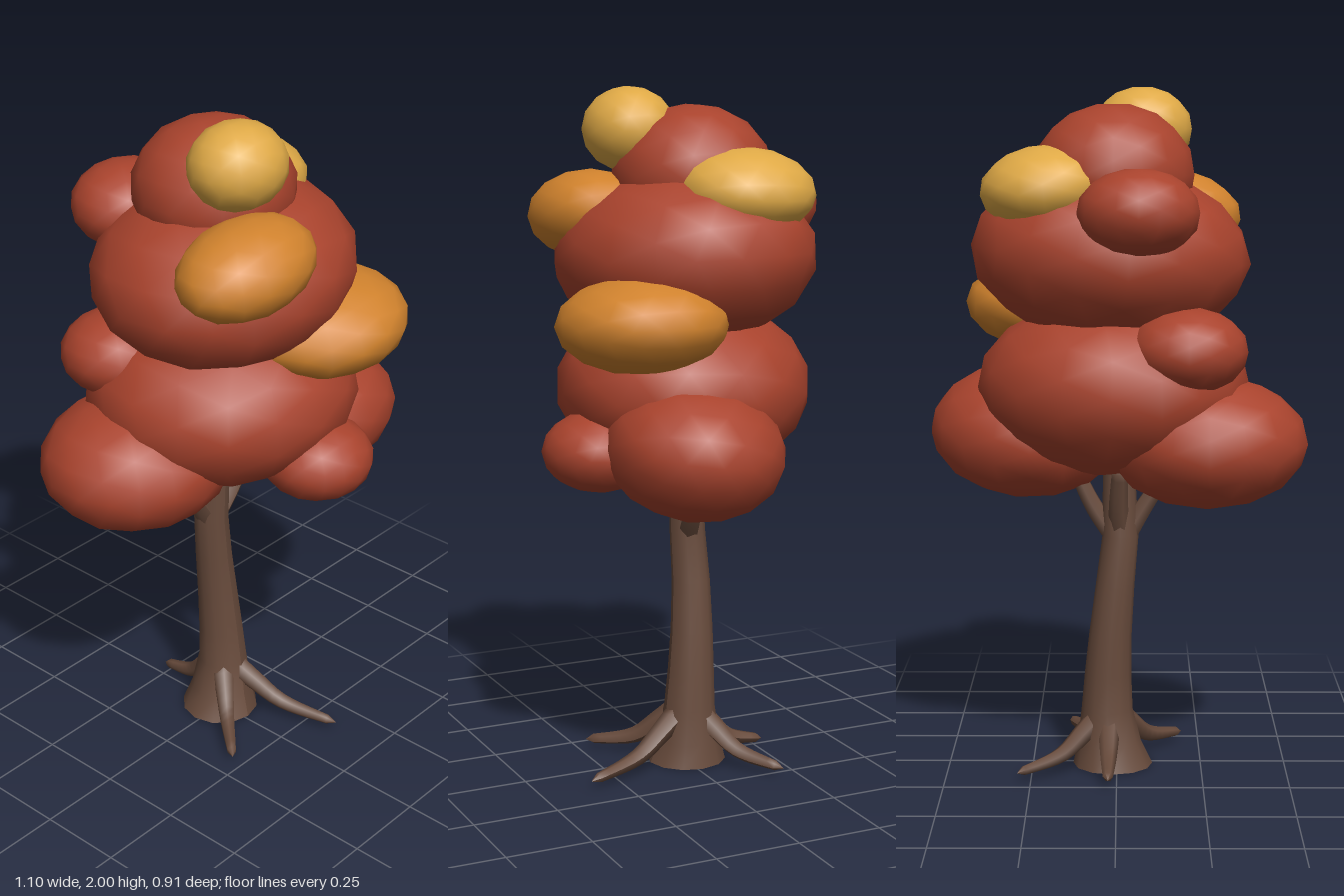
import * as THREE from 'three';

const mat = (name, color) => {
  const m = new THREE.MeshStandardMaterial({ color });
  m.name = name;
  return m;
};

// Trunk: a cylinder whose rings follow [y, centreX, centreZ, radius] stations
function trunkGeometry(stations) {
  const n = stations.length - 1;
  const geo = new THREE.CylinderGeometry(1, 1, 1, 12, n);
  const pos = geo.attributes.position;
  for (let i = 0; i < pos.count; i++) {
    const [y, cx, cz, r] = stations[Math.round((pos.getY(i) + 0.5) * n)];
    pos.setXYZ(i, cx + pos.getX(i) * r, y, cz + pos.getZ(i) * r);
  }
  geo.computeVertexNormals();
  return geo;
}

// Tapered tube along a smooth curve, closed to a blunt point at its end
function taperGeometry(points, r0, r1, sides = 6, rings = 12) {
  const curve = new THREE.CatmullRomCurve3(points.map(p => new THREE.Vector3(...p)));
  const geo = new THREE.TubeGeometry(curve, rings, 1, sides);
  const pos = geo.attributes.position;
  const v = new THREE.Vector3();
  for (let i = 0; i < pos.count; i++) {
    const ring = Math.floor(i / (sides + 1));
    const centre = curve.getPointAt(ring / rings);
    const r = ring === rings ? 0 : THREE.MathUtils.lerp(r0, r1, ring / rings);
    v.fromBufferAttribute(pos, i).sub(centre).multiplyScalar(r).add(centre);
    pos.setXYZ(i, v.x, v.y, v.z);
  }
  geo.computeVertexNormals();
  return geo;
}

export function createModel() {
  const tree = new THREE.Group();
  tree.name = 'autumnTree';
  const bark = mat('bark brown', 0x684b3c);
  const red = mat('leaf red', 0xa9432d);
  const orange = mat('leaf orange', 0xd0822d);
  const yellow = mat('leaf yellow', 0xdfa946);

  const add = (name, geo, material) => {
    const mesh = new THREE.Mesh(geo, material);
    mesh.name = name;
    tree.add(mesh);
    return mesh;
  };

  // Leaning trunk with flared foot
  add('trunk', trunkGeometry([
    [0, 0.012, -0.015, 0.118],
    [0.07, 0.022, -0.017, 0.094],
    [0.17, 0.029, -0.018, 0.076],
    [0.28, 0.026, -0.024, 0.069],
    [0.4, 0.019, -0.03, 0.063],
    [0.55, 0.005, -0.034, 0.057],
    [0.7, -0.011, -0.03, 0.053],
    [0.9, -0.006, -0.022, 0.047],
    [1.1, 0.0, -0.01, 0.04],
  ]), bark);

  // Roots spreading to their ground tips
  const foot = [0.022, -0.018];
  [[0.145, 0.352], [-0.198, 0.225], [0.29, -0.2], [0.025, -0.265]].forEach(([x, z], i) => {
    const at = (t, y) => [
      THREE.MathUtils.lerp(foot[0], x, t), y, THREE.MathUtils.lerp(foot[1], z, t)];
    add(`root${i + 1}`, taperGeometry(
      [at(0.12, 0.15), at(0.3, 0.105), at(0.52, 0.055), at(1, 0.025)], 0.036, 0.013), bark);
  });

  // Short branches reaching into the crown
  [[-0.15, 0.89, -0.03], [0.13, 0.91, 0.0], [-0.01, 0.92, -0.12]].forEach(([x, y, z], i) => {
    add(`branch${i + 1}`, taperGeometry(
      [[-0.012, 0.67, -0.028], [x * 0.52, 0.78, z * 0.5 - 0.012], [x, y, z]], 0.034, 0.022), bark);
  });

  // Leaf clumps: name, material, centre, radii, rotation
  const ball = new THREE.IcosahedronGeometry(1.015, 2);
  [
    ['lowerRightClump', red, [-0.26, 0.985, -0.09], [0.29, 0.19, 0.265], [0, 0, 0]],
    ['lowerLeftClump', red, [0.265, 0.998, 0.08], [0.29, 0.195, 0.255], [-0.14, -0.35, 0]],
    ['lowerFrontClump', red, [0.085, 0.985, 0.295], [0.164, 0.116, 0.16], [0, 0, 0]],
    ['lowerCrown', red, [0.01, 1.14, -0.005], [0.398, 0.26, 0.367], [0, -0.4, 0]],
    ['middleBackClump', red, [-0.2, 1.262, -0.213], [0.17, 0.122, 0.165], [0, 0, 0]],
    ['upperCrown', red, [0.018, 1.52, -0.005], [0.402, 0.255, 0.366], [0, 0.15, 0.07]],
    ['upperBackClump', red, [-0.06, 1.65, -0.3], [0.17, 0.123, 0.157], [0.1, 0, 0]],
    ['topCrown', red, [0.01, 1.75, -0.035], [0.232, 0.2, 0.23], [0, 0, 0]],
    ['orangeFrontClump', orange, [0.197, 1.355, 0.21], [0.255, 0.138, 0.238], [0, 0, 0.06]],
    ['orangeUpperClump', orange, [-0.15, 1.637, 0.225], [0.22, 0.126, 0.163], [0, 0, 0.12]],
    ['yellowSideClump', yellow, [0.2, 1.715, -0.11], [0.187, 0.12, 0.2], [-0.05, 0, -0.1]],
    ['yellowTopClump', yellow, [-0.074, 1.879, 0.126], [0.145, 0.121, 0.132], [0, 0, 0]],
  ].forEach(([name, material, centre, radii, rot]) => {
    const clump = add(name, ball, material);
    clump.position.set(...centre);
    clump.scale.set(...radii);
    clump.rotation.set(...rot);
  });

  return tree;
}
